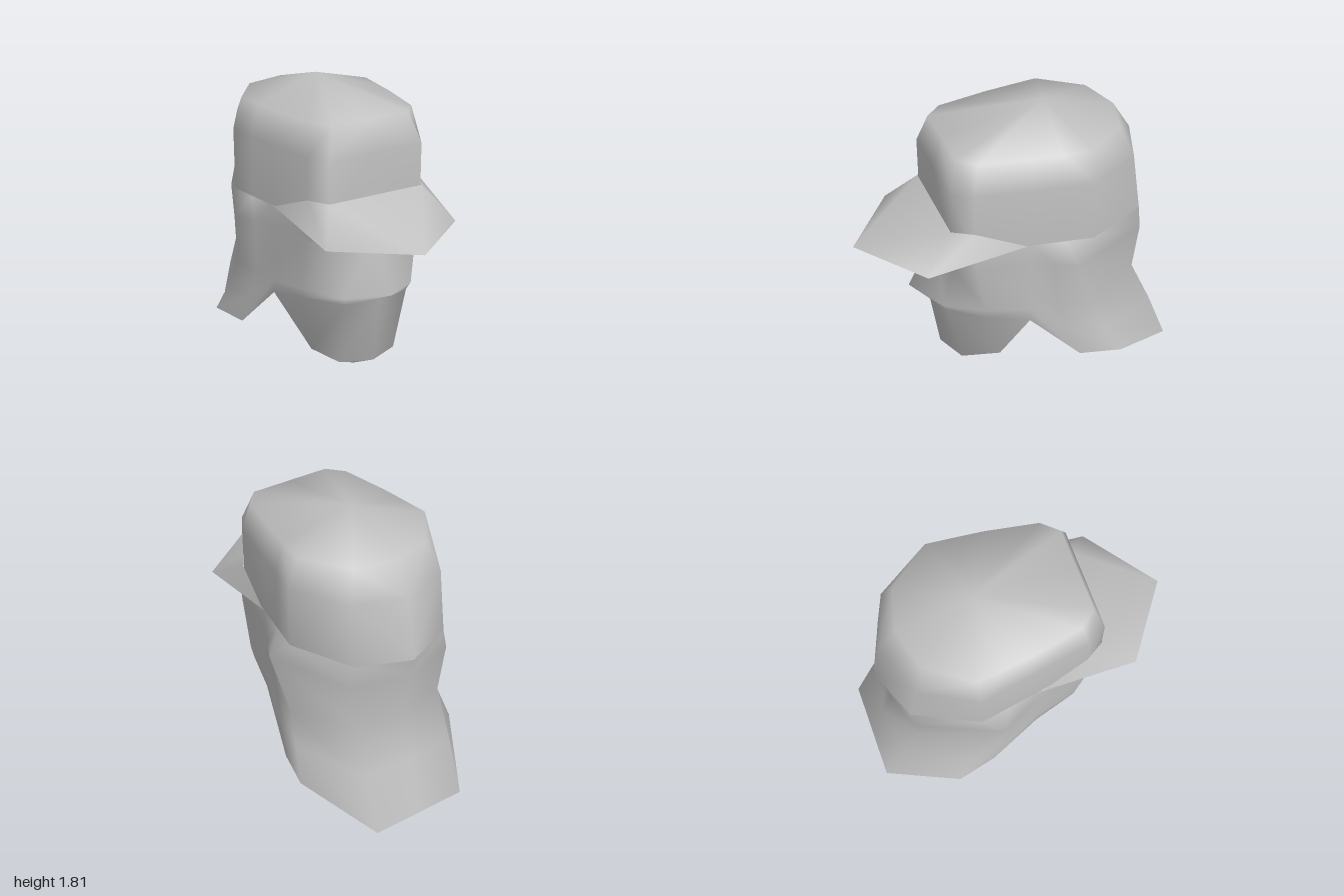
import * as THREE from 'three';
import { mergeVertices } from 'three/addons/utils/BufferGeometryUtils.js';

const cloth = new THREE.MeshStandardMaterial({ color: 0xbfbfbf, side: THREE.DoubleSide });
cloth.name = 'grey cloth';

// Smooth mesh from points and triangles
function surface(name, points, index) {
  let geo = new THREE.BufferGeometry();
  geo.setAttribute('position', new THREE.Float32BufferAttribute(points.flat(), 3));
  geo.setIndex(index);
  geo = mergeVertices(geo, 1e-4);
  geo.computeVertexNormals();
  const mesh = new THREE.Mesh(geo, cloth);
  mesh.name = name;
  return mesh;
}

// Each row is half a ring, from centre back to centre front; it is mirrored and lofted downwards
function loft(name, rows) {
  const n = (rows[0].length - 1) * 2;
  const points = [], index = [];
  for (const row of rows) {
    points.push(...row);
    points.push(...row.slice(1, -1).reverse().map(([x, y, z]) => [-x, y, z]));
  }
  for (let r = 0; r < rows.length - 1; r++) {
    for (let i = 0; i < n; i++) {
      const j = (i + 1) % n;
      const a = r * n + i, b = r * n + j, c = a + n, d = b + n;
      // keep the diagonals symmetrical
      if (i < n / 2) index.push(a, b, c, b, d, c);
      else index.push(a, b, d, a, d, c);
    }
  }
  return surface(name, points, index);
}

const level = (y, row) => row.map(([x, z]) => [x, y, z]);

export function createModel() {
  const model = new THREE.Group();
  model.name = 'capWithVeil';

  // Crown of the cap, from the peak to the band
  const band = [[0, -0.87], [0.32, -0.74], [0.51, -0.35], [0.48, -0.17], [0.45, 0.02], [0.39, 0.36], [0.32, 0.48], [0, 0.48]];
  model.add(loft('crown', [
    band.map(() => [0, 1.81, -0.22]),
    level(1.68, [[0, -0.68], [0.26, -0.61], [0.45, -0.35], [0.43, -0.17], [0.41, 0], [0.35, 0.32], [0.26, 0.42], [0, 0.42]]),
    level(1.49, [[0, -0.8], [0.32, -0.68], [0.51, -0.35], [0.48, -0.17], [0.45, 0.02], [0.39, 0.36], [0.32, 0.48], [0, 0.48]]),
    level(1.1, band),
  ]));

  // Neck flap at the back running into the face mask at the front
  const hem = [[0, 0, -1], [0.32, 0, -1], [0.58, 0.2, -0.55], [0.52, 0.2, -0.29], [0.45, 0.52, 0.03]];
  model.add(loft('neckFlapAndFaceMask', [
    [...level(1.1, band.slice(0, 5)), [0.41, 1.08, 0.38], [0.32, 1.06, 0.53], [0, 1.06, 0.53]],
    level(0.97, [[0, -0.85], [0.35, -0.74], [0.58, -0.23], [0.51, -0.1], [0.45, 0.03], [0.41, 0.36], [0.3, 0.48], [0, 0.48]]),
    // nose
    [[0, 0.65, -0.8], [0.32, 0.65, -0.72], [0.51, 0.59, -0.35], [0.48, 0.6, -0.15], [0.45, 0.72, 0.03], [0.4, 0.64, 0.3], [0.24, 0.62, 0.52], [0, 0.65, 0.67]],
    [[0, 0.35, -0.89], [0.32, 0.35, -0.86], [0.54, 0.4, -0.44], [0.5, 0.42, -0.2], [0.45, 0.6, 0.03], [0.39, 0.57, 0.28], [0.22, 0.57, 0.5], [0, 0.59, 0.55]],
    [...hem, [0.26, 0.13, 0.16], [0.2, 0.13, 0.4], [0, 0.13, 0.48]],
    // chin
    [...hem, [0.26, 0.13, 0.16], [0.06, 0.07, 0.36], [0, 0.07, 0.36]],
  ]));

  // Pointed visor: temple, upper side, upper front and outer corner on each side, then the tip
  const side = [[0.45, 1.1, 0.05], [0.395, 1.23, 0.36], [0.32, 1.23, 0.485], [0.45, 1.035, 0.67]];
  const visor = [...side, ...side.map(([x, y, z]) => [-x, y, z]), [0, 1.035, 1]];
  model.add(surface('visor', visor, [
    0, 1, 3, 1, 2, 3, 2, 8, 3,
    4, 7, 5, 5, 7, 6, 6, 7, 8,
    2, 6, 8,
  ]));

  return model;
}
